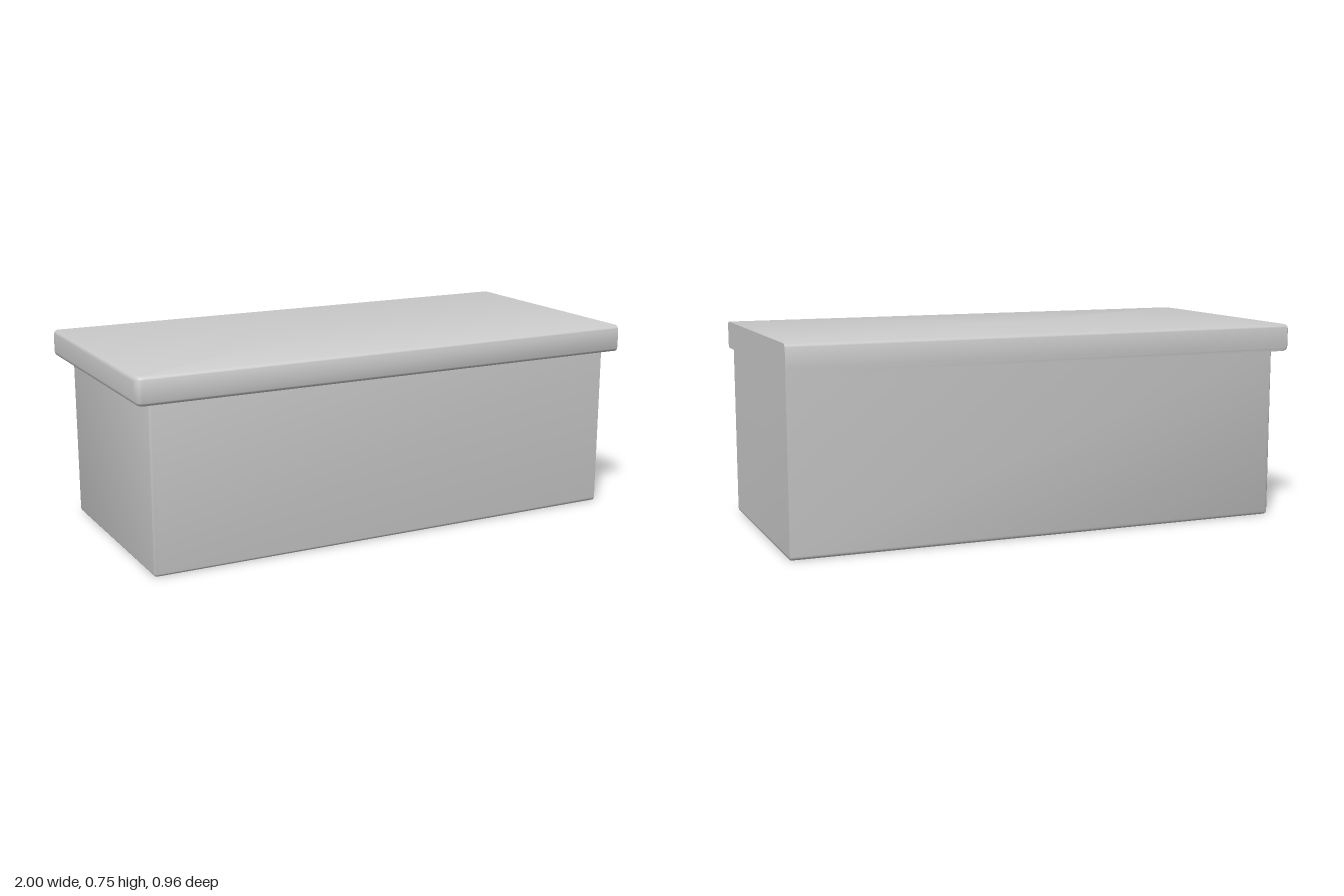
import * as THREE from 'three';
import { toCreasedNormals } from 'three/addons/utils/BufferGeometryUtils.js';

const STEPS = 5;

// Rounded rectangle in plan, counterclockwise from above.
// inset: [right, back, left, front]; radii: [rightBack, leftBack, leftFront, rightFront]
function planRing(box, inset, radii, y) {
  const x1 = box.x1 - inset[0], z0 = box.z0 + inset[1];
  const x0 = box.x0 + inset[2], z1 = box.z1 - inset[3];
  const corners = [[x1, z0, -1, 1], [x0, z0, 1, 1], [x0, z1, 1, -1], [x1, z1, -1, -1]];
  const ring = [];
  corners.forEach(([x, z, sx, sz], k) => {
    const r = Math.max(0, radii[k] - Math.min(inset[k], inset[(k + 1) % 4]));
    for (let i = 0; i <= STEPS; i++) {
      const a = (k + i / STEPS) * Math.PI / 2;
      ring.push(new THREE.Vector3(x + sx * r + r * Math.cos(a), y, z + sz * r - r * Math.sin(a)));
    }
  });
  return ring;
}

// Block whose bottom and top edges are rounded by a separate amount on each side
function roundedBlock(name, box, radii, bottom, top, capTop, material) {
  const rings = [];
  const addEdge = (rounding, y, dir) => {
    const h = Math.max(...rounding);
    for (let i = 0; i <= STEPS; i++) {
      const a = (dir > 0 ? i : STEPS - i) / STEPS * Math.PI / 2;
      const inset = rounding.map(r => r * (1 - Math.sin(a)));
      rings.push(planRing(box, inset, radii, y + dir * h * (1 - Math.cos(a))));
    }
  };
  addEdge(bottom, box.y0, 1);
  addEdge(top, box.y1, -1);

  const pos = [];
  const tri = (...pts) => pts.forEach(p => pos.push(p.x, p.y, p.z));
  const n = rings[0].length, last = rings[rings.length - 1];
  const centre = y => new THREE.Vector3((box.x0 + box.x1) / 2, y, (box.z0 + box.z1) / 2);
  for (let j = 0; j < n; j++) {
    const k = (j + 1) % n;
    for (let i = 0; i + 1 < rings.length; i++) {
      tri(rings[i][j], rings[i][k], rings[i + 1][k]);
      tri(rings[i][j], rings[i + 1][k], rings[i + 1][j]);
    }
    tri(centre(box.y0), rings[0][k], rings[0][j]);
    if (capTop) tri(centre(box.y1), last[j], last[k]);
  }
  const geometry = new THREE.BufferGeometry();
  geometry.setAttribute('position', new THREE.Float32BufferAttribute(pos, 3));
  const mesh = new THREE.Mesh(toCreasedNormals(geometry, 0.6), material);
  mesh.name = name;
  return mesh;
}

export function createModel() {
  const group = new THREE.Group();
  group.name = 'counter';
  const material = new THREE.MeshStandardMaterial({ color: 0xcccccc });

  // Solid base, rounded along the floor
  group.add(roundedBlock('base',
    { x0: -0.925, x1: 1, y0: 0, y1: 0.647, z0: -0.48, z1: 0.38 },
    [0, 0.015, 0.015, 0], [0.008, 0.015, 0.015, 0.015], [0, 0, 0, 0], false, material));

  // Top slab, overhanging the front and the right-hand end, flush elsewhere
  group.add(roundedBlock('topSlab',
    { x0: -1, x1: 1, y0: 0.647, y1: 0.752, z0: -0.48, z1: 0.48 },
    [0, 0.015, 0.03, 0], [0, 0, 0.02, 0.02], [0, 0.02, 0.02, 0.02], true, material));

  return group;
}
